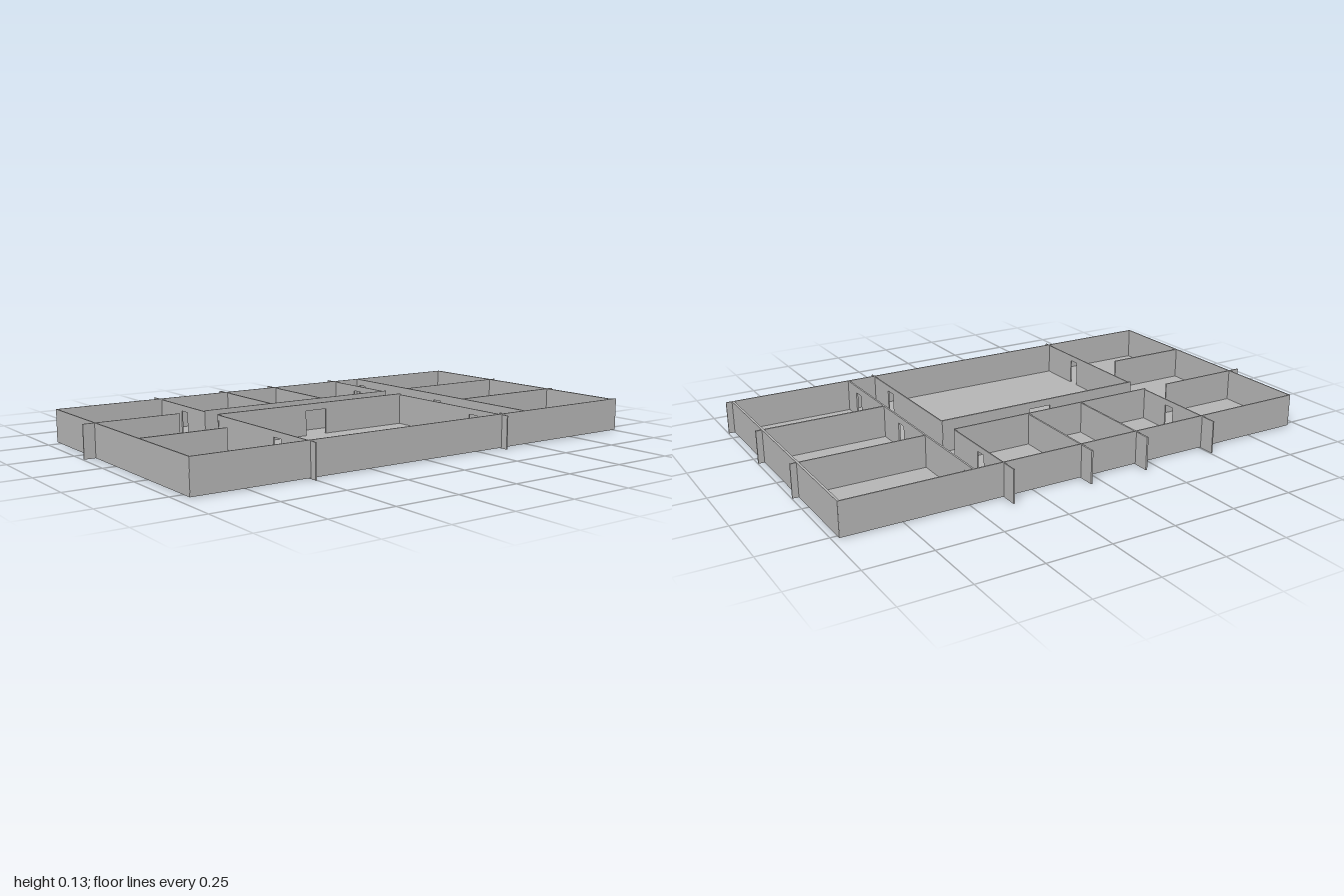
import * as THREE from 'three';

const FLOOR = 0.003, TOP = 0.132, DOOR_TOP = 0.105, THIN = 0.005, THICK = 0.009;

export function createModel() {
  const model = new THREE.Group();
  model.name = 'floorPlan';
  const plaster = new THREE.MeshStandardMaterial({ color: 0xb4b4b4 });
  plaster.name = 'plaster grey';

  const box = (parent, name, x0, x1, y0, y1, z0, z1) => {
    const mesh = new THREE.Mesh(new THREE.BoxGeometry(x1 - x0, y1 - y0, z1 - z0), plaster);
    mesh.position.set((x0 + x1) / 2, (y0 + y1) / 2, (z0 + z1) / 2);
    mesh.name = name;
    parent.add(mesh);
  };

  // A wall along one axis at a fixed offset; doors are [start, end] openings with a lintel
  const wall = (name, axis, at, from, to, { doors = [], t = THIN, y0 = FLOOR, y1 = TOP } = {}) => {
    const group = new THREE.Group();
    group.name = name;
    const piece = (part, a, b, low, high) => axis === 'x'
      ? box(group, part, a, b, low, high, at - t / 2, at + t / 2)
      : box(group, part, at - t / 2, at + t / 2, low, high, a, b);
    let start = from;
    for (const [a, b] of doors) {
      piece('panel', start, a, y0, y1);
      piece('lintel', a, b, DOOR_TOP, y1);
      start = b;
    }
    piece('panel', start, to, y0, y1);
    model.add(group);
  };

  // Floor slab
  box(model, 'floor', -0.955, 0.975, FLOOR, 0.006, -0.522, 0.552);

  // Outer walls
  wall('backWall', 'x', -0.52, -0.955, 0.975);
  wall('frontWall', 'x', 0.55, -0.955, 1.0);
  wall('rightOuterWall', 'z', -0.953, -0.522, 0.552);
  wall('leftOuterWall', 'z', 0.972, -0.522, 0.552, { t: THICK });

  // Rooms on the left side
  wall('leftCorridorWall', 'z', 0.484, -0.522, 0.552,
    { t: 0.007, doors: [[-0.5, -0.455], [0.02, 0.065], [0.417, 0.465]] });
  wall('leftBackDivider', 'x', -0.16, 0.484, 1.0);
  wall('leftFrontDivider', 'x', 0.196, 0.484, 1.0, { t: 0.007 });

  // Partial dividers on the right side
  wall('rightBackDivider', 'x', -0.16, -1.0, -0.615);
  wall('rightFrontDivider', 'x', 0.196, -0.955, -0.615, { t: 0.007 });

  // Row of back rooms; their cross walls run through the back wall
  const cross = { y0: 0, y1: 0.128 };
  wall('backRoomsInnerWall', 'x', -0.16, -0.508, 0.367);
  wall('backRoomSideRight', 'z', -0.506, -0.586, -0.158, { ...cross, doors: [[-0.345, -0.298]] });
  wall('backRoomDivider', 'z', -0.197, -0.586, -0.158, { ...cross, t: 0.007 });
  wall('backRoomDivider', 'z', 0.045, -0.586, -0.158, { ...cross, t: 0.007 });
  wall('backRoomSideLeft', 'z', 0.365, -0.586, -0.158, { ...cross, doors: [[-0.38, -0.334]] });

  // Large hall; its side walls run through the front wall
  wall('hallBackWall', 'x', -0.062, -0.505, 0.367, { t: 0.007, doors: [[-0.11, -0.015]] });
  wall('hallSideRight', 'z', -0.502, -0.064, 0.58, { ...cross, doors: [[0.324, 0.37]] });
  wall('hallSideLeft', 'z', 0.365, -0.064, 0.58, { ...cross, doors: [[0.37, 0.418]] });

  return model;
}
